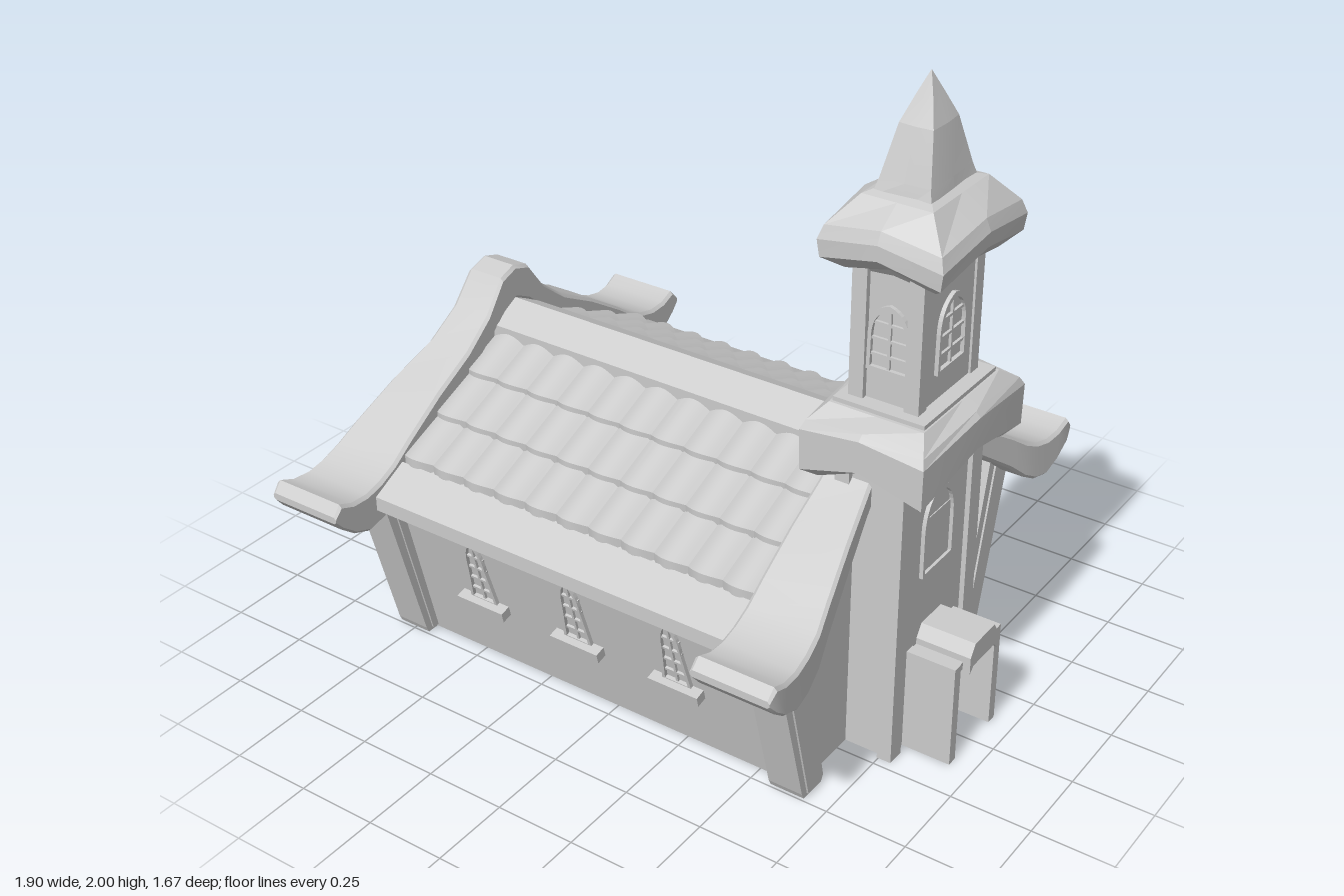
import * as THREE from 'three';
import { mergeVertices, toCreasedNormals } from 'three/addons/utils/BufferGeometryUtils.js';

const mat = new THREE.MeshStandardMaterial({ color: 0xcccccc, side: THREE.DoubleSide });
const CX = 0.685; // tower axis

function add(parent, name, geometry) {
  const m = new THREE.Mesh(geometry, mat);
  m.name = name;
  parent.add(m);
  return m;
}

function box(parent, name, x0, x1, y0, y1, z0, z1) {
  const g = new THREE.BoxGeometry(x1 - x0, y1 - y0, z1 - z0);
  return add(parent, name, g.translate((x0 + x1) / 2, (y0 + y1) / 2, (z0 + z1) / 2));
}

// Extrudes a [z, y] outline along x
function prism(parent, name, pts, x0, x1) {
  const shape = new THREE.Shape(pts.map(([z, y]) => new THREE.Vector2(-z, y)));
  const g = new THREE.ExtrudeGeometry(shape, { depth: x1 - x0, bevelEnabled: false });
  return add(parent, name, g.rotateY(Math.PI / 2).translate(x0, 0, 0));
}

// Skins a list of equal-length rings of [x, y, z] and caps both ends
function loft(rings, crease = 0.3) {
  const n = rings[0].length, pos = [];
  const tri = (...p) => p.forEach((q) => pos.push(...q));
  for (let i = 0; i + 1 < rings.length; i++) {
    for (let j = 0; j < n; j++) {
      const k = (j + 1) % n, [r, s] = [rings[i], rings[i + 1]];
      tri(r[j], r[k], s[k]);
      tri(r[j], s[k], s[j]);
    }
  }
  const last = rings[rings.length - 1];
  for (let j = 1; j + 1 < n; j++) {
    tri(rings[0][0], rings[0][j + 1], rings[0][j]);
    tri(last[0], last[j], last[j + 1]);
  }
  const g = new THREE.BufferGeometry();
  g.setAttribute('position', new THREE.Float32BufferAttribute(pos, 3));
  return toCreasedNormals(mergeVertices(g), crease);
}

// Stacked eight-point rings: [half x, half z, y, lift of the side middles, bulge]
function towerLoft(rows) {
  const dirs = [[1, 0], [1, -1], [0, -1], [-1, -1], [-1, 0], [-1, 1], [0, 1], [1, 1]];
  return loft(rows.map(([a, b, y, lift = 0, bulge = 0]) => dirs.map(([dx, dz]) => {
    const mid = dx * dz === 0;
    return [CX + dx * (a + (mid ? bulge : 0)), y + (mid ? lift : 0), dz * (b + (mid ? bulge : 0))];
  })), 0.15);
}

// Arched outline standing on y = base
function archPath(Type, w, h, base, taper) {
  const p = new Type(), a = w / 2, b = a * taper, s = base + (h - base) * 0.55;
  p.moveTo(-a, base);
  p.lineTo(a, base);
  p.lineTo(b, s);
  p.quadraticCurveTo(b * 0.95, h * 0.92, 0, h);
  p.quadraticCurveTo(-b * 0.95, h * 0.92, -b, s);
  p.closePath();
  return p;
}

// Window facing +z with its foot at the origin
function archWindow(name, w, h, taper, rows) {
  const g = new THREE.Group(), t = 0.011;
  g.name = name;
  const frame = archPath(THREE.Shape, w, h, 0, taper);
  frame.holes.push(archPath(THREE.Path, w - 2 * t, h - t * 1.4, t, taper));
  add(g, 'windowFrame', new THREE.ExtrudeGeometry(frame, { depth: 0.012, bevelEnabled: false, curveSegments: 8 }));
  if (rows) box(g, 'mullion', -0.004, 0.004, 0, h - t, 0, 0.008);
  for (let i = 1; i <= rows; i++) {
    const y = (i * h * 0.8) / (rows + 0.4), half = (w / 2) * (1 + (taper - 1) * y / h) * 0.88;
    box(g, 'glazingBar', -half, half, y - 0.004, y + 0.004, 0, 0.008);
  }
  return g;
}

// Upturned gable coping: [z, top, bottom, width] from ridge to tip
const COPING = [
  [0, 1.06, 0.95, 0.13], [0.06, 1.04, 0.92, 0.132], [0.13, 0.945, 0.86, 0.14], [0.23, 0.865, 0.785, 0.155],
  [0.37, 0.79, 0.69, 0.185], [0.51, 0.7, 0.59, 0.215], [0.58, 0.65, 0.53, 0.23], [0.64, 0.622, 0.495, 0.237],
  [0.7, 0.607, 0.482, 0.242], [0.76, 0.61, 0.505, 0.246], [0.81, 0.63, 0.545, 0.25], [0.837, 0.6, 0.578, 0.245]];

function coping(parent, name, inner, dir) {
  const full = [...COPING.slice(1).reverse().map(([z, ...r]) => [-z, ...r]), ...COPING];
  const c = 0.01;
  add(parent, name, loft(full.map(([z, t, b, w]) => {
    const x0 = Math.min(inner, inner + dir * w), x1 = Math.max(inner, inner + dir * w);
    const e = Math.min(c, (t - b) / 3);
    return [[x0 + e, b, z], [x1 - e, b, z], [x1, b + e, z], [x1, t - e, z],
      [x1 - e, t, z], [x0 + e, t, z], [x0, t - e, z], [x0, b + e, z]];
  }), 0.5));
}

// One course of rounded tiles with a scalloped, raised lower edge
function tileRow(z0, z1, x0, x1, columns) {
  const per = 10, n = columns * per, pos = [], idx = [];
  const slopeY = (z) => 0.865 - (z - 0.1) * 0.5;
  for (let i = 0; i <= n; i++) {
    const hump = Math.sin(Math.PI * (i % per) / per), x = x0 + (x1 - x0) * i / n;
    const zEnd = z1 - 0.015 + 0.025 * hump;
    pos.push(x, slopeY(z0) + 0.02 * hump - 0.005, z0);
    pos.push(x, slopeY(zEnd) + 0.026 * hump + 0.008, zEnd);
    pos.push(x, slopeY(zEnd) - 0.015, zEnd);
    if (i < n) for (let k = 0; k < 2; k++) {
      const a = i * 3 + k;
      idx.push(a, a + 1, a + 4, a, a + 4, a + 3);
    }
  }
  const g = new THREE.BufferGeometry();
  g.setAttribute('position', new THREE.Float32BufferAttribute(pos, 3));
  g.setIndex(idx);
  return toCreasedNormals(g, 0.6);
}

export function createModel() {
  const model = new THREE.Group();
  model.name = 'chapel';

  // Gable walls and copings
  const gable = [[-0.45, 0], [0.45, 0], [0.585, 0.56], [0.23, 0.82], [0, 0.98], [-0.23, 0.82], [-0.585, 0.56]];
  prism(model, 'backGable', gable, -0.77, -0.75);
  prism(model, 'frontGable', gable, 0.61, 0.63);
  coping(model, 'backCoping', -0.7, -1);
  coping(model, 'frontCoping', 0.53, 1);

  // Two mirrored sides: wall, corner posts, roof slope, tiles, windows
  for (const s of [1, -1]) {
    const side = new THREE.Group();
    side.name = s > 0 ? 'rightSide' : 'leftSide';
    model.add(side);
    const m = (pts) => pts.map(([z, y]) => [z * s, y]);
    prism(side, 'sideWall', m([[0.43, 0], [0.45, 0], [0.585, 0.56], [0.565, 0.56]]), -0.76, 0.62);
    for (const x of [-0.81, 0.56]) {
      prism(side, 'cornerPost', m([[0.4, 0], [0.49, 0], [0.5, 0.02], [0.635, 0.52], [0.525, 0.6], [0.39, 0.02]]), x, x + 0.11);
      prism(side, 'postRidge', m([[0.415, 0.01], [0.475, 0.01], [0.605, 0.52], [0.55, 0.56]]), x - 0.006, x + 0.116);
    }
    prism(side, 'roofSlope', m([[0, 0.9], [0.1, 0.855], [0.55, 0.625], [0.55, 0.6], [0, 0.87]]), -0.71, 0.55);
    prism(side, 'eaveBoard', m([[0.55, 0.645], [0.67, 0.585], [0.67, 0.54], [0.55, 0.575]]), -0.71, 0.54);
    for (let r = 0; r < 3; r++) {
      const tiles = add(side, 'tileCourse', tileRow(0.08 + r * 0.155, 0.245 + r * 0.15, -0.71, 0.535, 11));
      tiles.scale.z = s;
    }
    for (const x of [-0.44, -0.09, 0.26]) {
      const w = archWindow('sideWindow', 0.1, 0.25, 0.72, 4);
      box(w, 'windowSill', -0.085, 0.085, -0.025, 0.008, -0.005, 0.035);
      const holder = new THREE.Group();
      holder.name = 'sideWindowMount';
      holder.rotation.y = s > 0 ? 0 : Math.PI;
      w.position.set(x * s, 0.235, 0.45 + 0.235 * 0.241);
      w.rotation.x = Math.atan(0.241);
      holder.add(w);
      side.add(holder);
    }
  }
  prism(model, 'ridgeCap', [[-0.1, 0.85], [0.1, 0.85], [0.1, 0.9], [0, 0.952], [-0.1, 0.9]], -0.71, 0.55);

  // Tower shaft with corner posts
  box(model, 'towerShaft', 0.585, 0.775, 0, 0.96, -0.205, 0.205);
  for (const s of [1, -1]) for (const x of [0.575, 0.745]) {
    box(model, 'towerPost', x, x + 0.045, 0, 0.95, s * 0.165, s * 0.222);
    box(model, 'belfryPost', x - 0.003, x + 0.042, 1.09, 1.52, s * 0.12, s * 0.162);
  }

  // Lower tower roof, belfry, upper roof and spire
  add(model, 'lowerTowerRoof', towerLoft([
    [0.1, 0.2, 0.9, 0.05], [0.155, 0.235, 0.875, 0.065], [0.188, 0.278, 0.905, 0.06, 0.012],
    [0.19, 0.28, 1.03, 0.03, 0.012], [0.18, 0.265, 1.055, 0.02, 0.008], [0.145, 0.205, 1.095]]));
  box(model, 'belfryLedge', 0.545, 0.825, 1.085, 1.108, -0.195, 0.195);
  box(model, 'belfry', 0.585, 0.78, 1.09, 1.52, -0.145, 0.145);
  add(model, 'upperTowerRoof', towerLoft([
    [0.11, 0.145, 1.475, 0.01], [0.135, 0.165, 1.48, 0.03], [0.178, 0.222, 1.52, 0.04, 0.012],
    [0.185, 0.225, 1.57, 0.035, 0.01], [0.172, 0.212, 1.61, 0.03, 0.008], [0.105, 0.145, 1.69], [0.08, 0.11, 1.7]]));
  add(model, 'spire', towerLoft([
    [0.075, 0.11, 1.66], [0.088, 0.125, 1.68, -0.02], [0.075, 0.108, 1.73, 0, 0.004],
    [0.05, 0.065, 1.87, 0, 0.004], [0.025, 0.03, 1.94], [0.001, 0.001, 2]]));

  // Tower windows
  const place = (w, x, y, z, ry) => {
    w.position.set(x, y, z);
    w.rotation.y = ry;
    model.add(w);
  };
  place(archWindow('towerWindow', 0.17, 0.27, 1, 0), 0.775, 0.55, 0, Math.PI / 2);
  box(model, 'towerWindowPane', 0.77, 0.778, 0.56, 0.73, -0.07, 0.07);
  for (const s of [1, -1]) {
    place(archWindow('belfryWindow', 0.15, 0.22, 0.97, 3), s > 0 ? 0.78 : 0.585, 1.19, 0, s * Math.PI / 2);
    place(archWindow('belfryWindow', 0.13, 0.2, 0.97, 3), CX, 1.2, s * 0.145, s > 0 ? 0 : Math.PI);
  }

  // Porch: side walls, arched hood and plank door
  for (const s of [1, -1]) box(model, 'porchWall', 0.77, 0.93, 0, 0.33, s * 0.1, s * 0.133);
  prism(model, 'porchHood', [[-0.08, 0.29], [-0.08, 0.345], [-0.055, 0.382], [0.055, 0.382], [0.08, 0.345], [0.08, 0.29],
    [0.06, 0.31], [-0.06, 0.31]], 0.77, 0.948);
  box(model, 'porchCeiling', 0.77, 0.925, 0.3, 0.325, -0.1, 0.1);
  for (let i = 0; i < 5; i++) {
    const z = -0.092 + i * 0.037;
    box(model, 'doorPlank', 0.77, 0.795 + (i % 2) * 0.004, 0.005 + (i % 3) * 0.004, 0.3, z, z + 0.034);
  }
  for (const y of [0.07, 0.21]) box(model, 'doorBrace', 0.79, 0.806, y, y + 0.03, -0.085, 0.085);
  const knob = add(model, 'doorKnob', new THREE.SphereGeometry(0.012, 10, 8));
  knob.position.set(0.81, 0.145, -0.062);
  return model;
}
